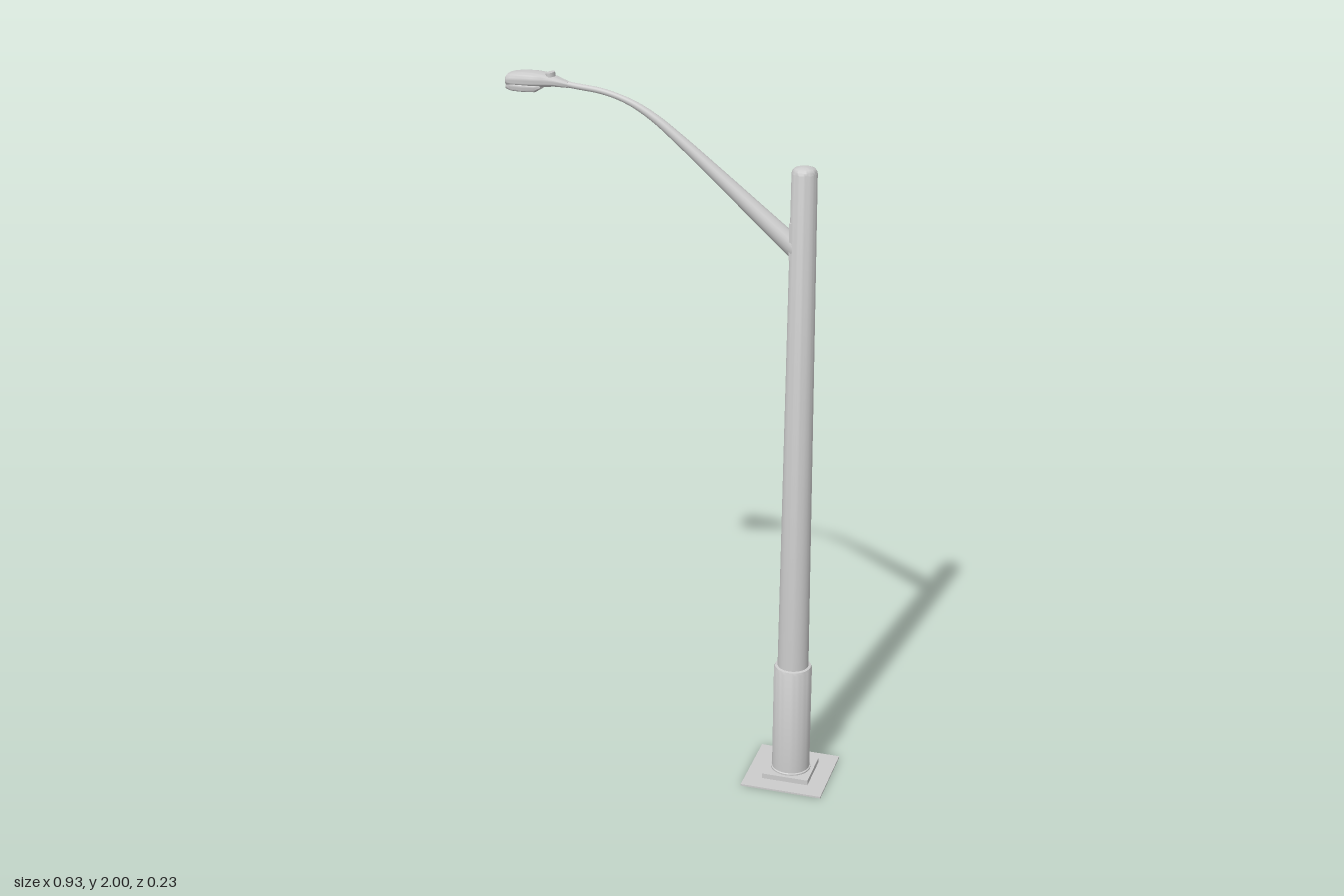
import * as THREE from 'three';
import { toCreasedNormals } from 'three/addons/utils/BufferGeometryUtils.js';

const material = new THREE.MeshStandardMaterial({ color: 0xcccccc });
const POLE_X = 0.348;
const HEAD_Z = -0.006;

function add(group, name, geometry, x = 0, y = 0, z = 0) {
  const mesh = new THREE.Mesh(geometry, material);
  mesh.name = name;
  mesh.position.set(x, y, z);
  group.add(mesh);
  return mesh;
}

function lathe(profile, segments = 40) {
  const points = profile.map(([r, y]) => new THREE.Vector2(r, y));
  return toCreasedNormals(new THREE.LatheGeometry(points, segments), 0.6);
}

// Rounded-box sections [x, halfWidth, bottom, top] joined along x, closed at both ends
function loft(sections, power, segments = 32) {
  const first = sections[0], last = sections[sections.length - 1];
  const close = ([x, , b, t]) => [x, 0, (b + t) / 2, (b + t) / 2];
  const rings = [close(first), ...sections, close(last)];
  const positions = [], index = [];
  const round = (v) => Math.sign(v) * Math.abs(v) ** power;
  rings.forEach(([x, w, b, t], i) => {
    for (let j = 0; j < segments; j++) {
      const a = (j / segments) * Math.PI * 2;
      positions.push(x, (b + t) / 2 + ((t - b) / 2) * round(Math.sin(a)), w * round(Math.cos(a)));
      if (i === rings.length - 1) continue;
      const p = i * segments + j, q = i * segments + ((j + 1) % segments);
      index.push(p, p + segments, q, q, p + segments, q + segments);
    }
  });
  const geometry = new THREE.BufferGeometry();
  geometry.setAttribute('position', new THREE.Float32BufferAttribute(positions, 3));
  geometry.setIndex(index);
  return toCreasedNormals(geometry, 0.7);
}

// Tube whose radius follows a function of the distance along the path
function taperedTube(path, radiusAt, steps = 48, sides = 20) {
  const geometry = new THREE.TubeGeometry(path, steps, 1, sides);
  const pos = geometry.attributes.position, v = new THREE.Vector3();
  for (let i = 0; i <= steps; i++) {
    const centre = path.getPointAt(i / steps);
    for (let j = 0; j <= sides; j++) {
      const k = i * (sides + 1) + j;
      v.fromBufferAttribute(pos, k).sub(centre).multiplyScalar(radiusAt(i / steps)).add(centre);
      pos.setXYZ(k, v.x, v.y, v.z);
    }
  }
  return geometry;
}

export function createModel() {
  const model = new THREE.Group();
  model.name = 'streetLamp';

  // Ground plate and plinth
  add(model, 'groundPlate', new THREE.BoxGeometry(0.234, 0.005, 0.234), POLE_X, 0.0025);
  add(model, 'plinth', new THREE.BoxGeometry(0.134, 0.015, 0.134), POLE_X, 0.0125);

  // Wide lower sleeve with a bevelled rim
  add(model, 'poleSleeve', lathe([
    [0, 0.015], [0.057, 0.015], [0.057, 0.024], [0.054, 0.026],
    [0.054, 0.341], [0.051, 0.349], [0.043, 0.351],
  ]), POLE_X);

  // Tapered pole with a low domed top
  add(model, 'pole', lathe([
    [0.044, 0.34], [0.034, 1.783], [0.032, 1.79], [0.027, 1.796], [0.015, 1.8], [0, 1.801],
  ]), POLE_X);

  // Bracket holding the arm
  add(model, 'armBracket', new THREE.BoxGeometry(0.024, 0.1, 0.05), 0.328, 1.602);

  // Curved arm, thinner towards the lamp
  const path = new THREE.CatmullRomCurve3([
    [0.335, 1.574, 0], [0.25, 1.645, 0], [0.125, 1.75, -0.001], [0.01, 1.845, -0.002],
    [-0.06, 1.898, -0.003], [-0.125, 1.934, -0.004], [-0.2, 1.957, -0.006],
    [-0.28, 1.967, HEAD_Z], [-0.34, 1.975, HEAD_Z],
  ].map((p) => new THREE.Vector3(...p)));
  add(model, 'arm', taperedTube(path, (u) => Math.max(0.008, 0.028 - 0.026 * u)));

  // Lamp housing, narrowing into the arm
  const head = new THREE.Group();
  head.name = 'lampHead';
  head.position.z = HEAD_Z;
  model.add(head);
  add(head, 'housing', loft([
    [-0.468, 0.025, 1.963, 1.985], [-0.464, 0.030, 1.960, 1.991], [-0.45, 0.034, 1.959, 1.995],
    [-0.42, 0.0365, 1.959, 1.998], [-0.39, 0.036, 1.960, 1.998], [-0.365, 0.030, 1.961, 1.996],
    [-0.335, 0.020, 1.963, 1.989], [-0.298, 0.009, 1.961, 1.977],
  ], 0.6));

  // Light panel below the housing
  add(head, 'lens', loft([
    [-0.467, 0.024, 1.950, 1.972], [-0.45, 0.033, 1.947, 1.972], [-0.42, 0.0355, 1.946, 1.972],
    [-0.385, 0.033, 1.947, 1.972], [-0.368, 0.027, 1.957, 1.972],
  ], 0.5));

  // Oval light sensor on top of the neck
  const sensor = add(head, 'lightSensor', new THREE.CylinderGeometry(1, 1, 0.016, 24), -0.348, 1.991);
  sensor.scale.set(0.012, 1, 0.019);
  sensor.rotation.z = 0.15;

  return model;
}
